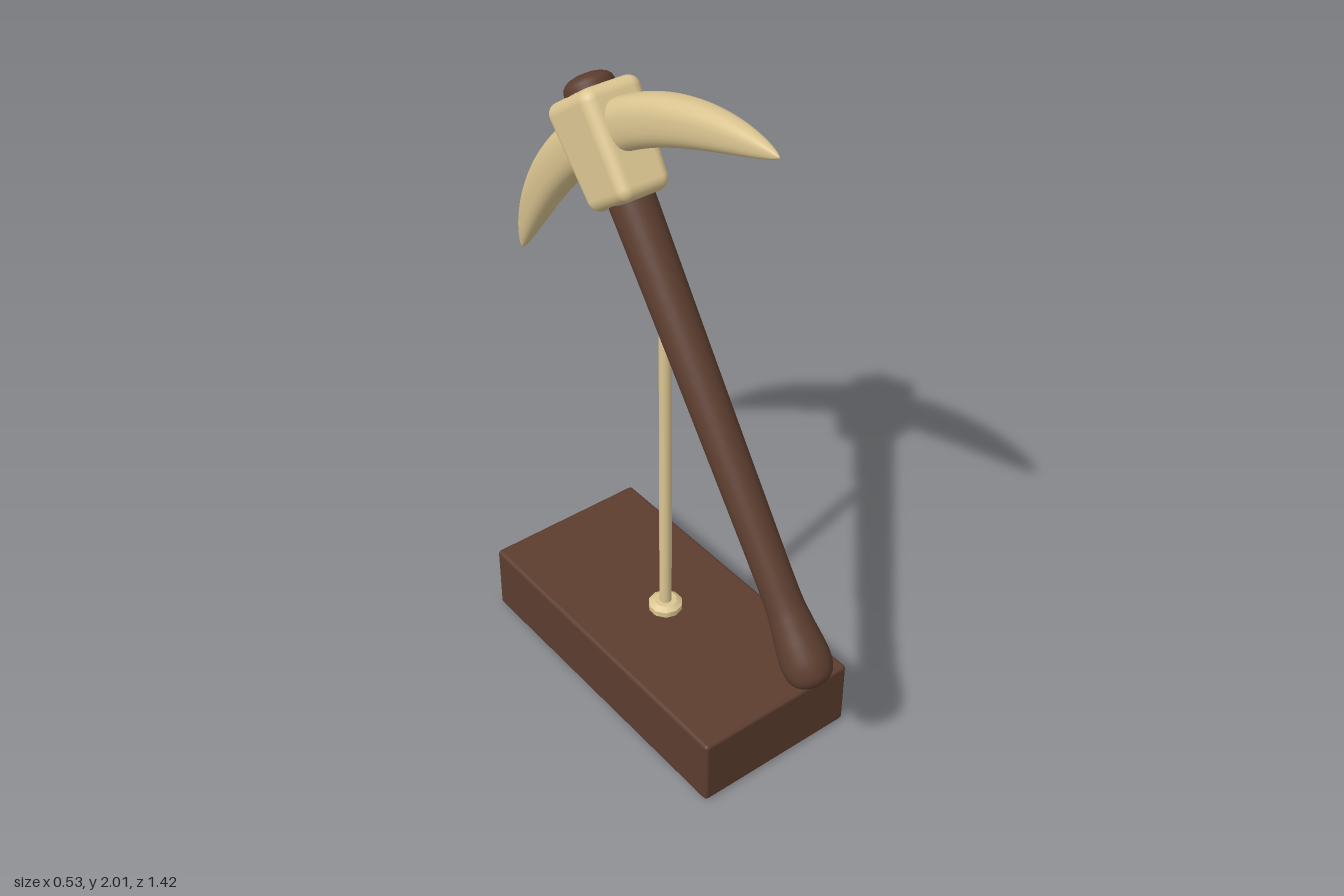
import * as THREE from 'three';
import { mergeVertices } from 'three/addons/utils/BufferGeometryUtils.js';
import { RoundedBoxGeometry } from 'three/addons/geometries/RoundedBoxGeometry.js';

const wood = new THREE.MeshStandardMaterial({ color: 0x5c3d2f });
wood.name = 'dark wood';
const bone = new THREE.MeshStandardMaterial({ color: 0xdbc591 });
bone.name = 'pale bone';

function part(name, geometry, material, y = 0) {
  const mesh = new THREE.Mesh(geometry, material);
  mesh.name = name;
  mesh.position.y = y;
  return mesh;
}

function lathe(points, sides) {
  return new THREE.LatheGeometry(points.map(([r, y]) => new THREE.Vector2(r, y)), sides);
}

// Curved double pick: a sphere stretched along a bent spine, tapering to both tips
function pickGeometry() {
  const raw = new THREE.SphereGeometry(1, 32, 56).rotateX(Math.PI / 2);
  raw.deleteAttribute('uv');
  raw.deleteAttribute('normal');
  const geometry = mergeVertices(raw, 1e-5);
  const pos = geometry.attributes.position;
  const halfLength = 0.695, drop = 0.22, power = 2.1;
  const square = (v) => Math.sign(v) * Math.abs(v) ** 0.8;
  for (let i = 0; i < pos.count; i++) {
    const k = THREE.MathUtils.clamp(pos.getZ(i), -1, 1), a = Math.abs(k);
    const angle = Math.atan2(pos.getY(i), pos.getX(i));
    const taper = Math.max(0, 1 - a ** 3) ** 0.7;
    const across = 0.06 * taper * square(Math.cos(angle));
    const thick = 0.073 * taper * square(Math.sin(angle));
    const slope = Math.sign(k) * power * drop * a ** (power - 1) / halfLength;
    const len = Math.hypot(1, slope);
    pos.setXYZ(i, across, -drop * a ** power + thick / len, k * halfLength + thick * slope / len);
  }
  geometry.computeVertexNormals();
  return geometry;
}

// Head block, slightly wider toward the top
function headGeometry() {
  const h = 0.315;
  const geometry = new RoundedBoxGeometry(0.18, h, 0.222, 5, 0.035);
  const pos = geometry.attributes.position;
  for (let i = 0; i < pos.count; i++) {
    const f = 1 + 0.16 * pos.getY(i) / h;
    pos.setX(i, pos.getX(i) * f);
    pos.setZ(i, pos.getZ(i) * f);
  }
  return geometry;
}

export function createModel() {
  const model = new THREE.Group();
  model.name = 'pickaxe on stand';

  // Display stand
  const stand = new THREE.Group();
  stand.name = 'stand';
  stand.add(
    part('base', new RoundedBoxGeometry(0.534, 0.222, 1.066, 2, 0.012), wood, 0.111),
    part('rod', new THREE.CylinderGeometry(0.019, 0.019, 1.11, 16), bone, 0.775),
    part('collar', new THREE.CylinderGeometry(0.053, 0.053, 0.018, 10), bone, 0.231),
    part('collarTop', new THREE.CylinderGeometry(0.036, 0.053, 0.012, 10), bone, 0.246),
  );
  model.add(stand);

  // Tilted tool, built upright along its handle
  const tool = new THREE.Group();
  tool.name = 'pickaxe';
  tool.position.set(0, 0.455, 0.655);
  tool.rotation.x = -0.6126;
  const handle = new THREE.SplineCurve([
    [0, -0.037], [0.035, -0.032], [0.063, -0.008], [0.073, 0.035], [0.069, 0.09],
    [0.06, 0.16], [0.054, 0.25], [0.056, 0.55], [0.061, 1.0], [0.067, 1.42],
  ].map(([r, y]) => new THREE.Vector2(r, y))).getPoints(48);
  handle[0].x = 0;
  tool.add(
    part('handle', new THREE.LatheGeometry(handle, 32), wood),
    part('handleCap', lathe([[0.072, 1.6], [0.072, 1.712], [0.069, 1.724], [0.06, 1.734],
      [0.045, 1.742], [0.024, 1.747], [0, 1.748]], 32), wood),
    part('head', headGeometry(), bone, 1.548),
    part('pick', pickGeometry(), bone, 1.59),
  );
  model.add(tool);
  return model;
}
